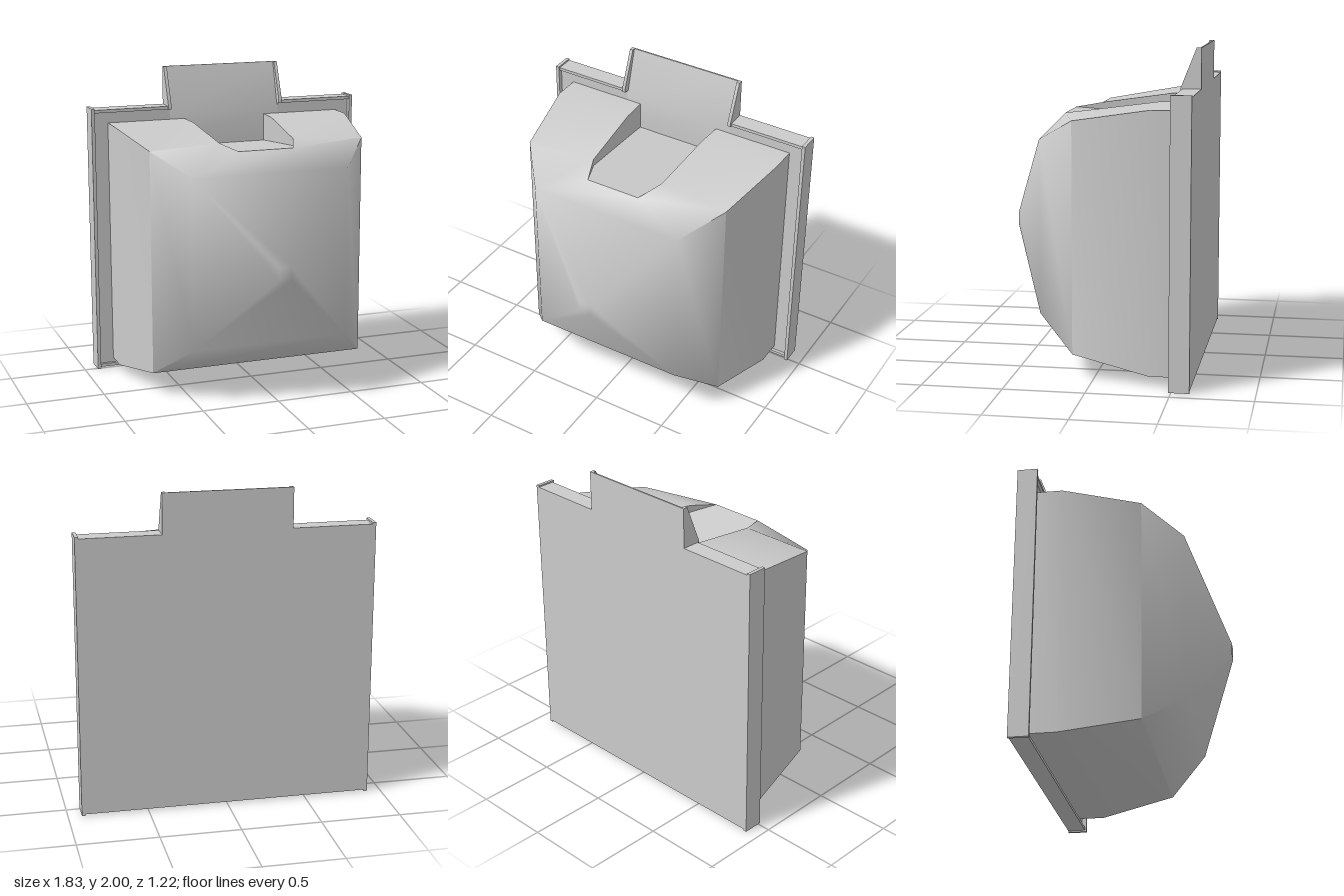
import * as THREE from 'three';
import { toCreasedNormals } from 'three/addons/utils/BufferGeometryUtils.js';

const material = new THREE.MeshStandardMaterial({ color: 0xcccccc });
const BACK = -0.61, PANEL = -0.515;

function add(group, name, geometry) {
  const mesh = new THREE.Mesh(geometry, material);
  mesh.name = name;
  group.add(mesh);
}

// Box given by its limits on each axis
function box(x0, x1, y0, y1, z0, z1) {
  return new THREE.BoxGeometry(x1 - x0, y1 - y0, z1 - z0)
    .translate((x0 + x1) / 2, (y0 + y1) / 2, (z0 + z1) / 2);
}

// Side profile of [z, y] points swept from x0 to x1
function sweepX(profile, x0, x1) {
  const shape = new THREE.Shape(profile.map(([z, y]) => new THREE.Vector2(z, y)));
  const geometry = new THREE.ExtrudeGeometry(shape, { depth: x1 - x0, bevelEnabled: false });
  geometry.rotateY(-Math.PI / 2).translate(x1, 0, 0);
  return toCreasedNormals(geometry, 0.8);
}

// Collects quads (corners counter-clockwise from outside) into one geometry
function quadBuilder() {
  const positions = [];
  return {
    quad(a, b, c, d) { positions.push(...a, ...b, ...c, ...a, ...c, ...d); },
    // The same quad on the left (+x) and mirrored on the right
    pair(a, b, c, d) {
      const m = ([x, y, z]) => [-x, y, z];
      this.quad(a, b, c, d);
      this.quad(m(d), m(c), m(b), m(a));
    },
    build(crease) {
      const geometry = new THREE.BufferGeometry();
      geometry.setAttribute('position', new THREE.Float32BufferAttribute(positions, 3));
      return toCreasedNormals(geometry, crease);
    },
  };
}

// Bulging shell: rectangular sections shrinking to the front, top cut open for the pocket
function pouchShell(rings, lip) {
  const q = quadBuilder();
  const low = rings.map(([z, x, y0]) => [x, y0, z]);
  const high = rings.map(([z, x, , y1]) => [x, y1, z]);
  const m = ([x, y, z]) => [-x, y, z];
  const last = rings.length - 1;
  for (let i = 0; i < last; i++) {
    q.pair(low[i], high[i], high[i + 1], low[i + 1]);
    q.quad(m(low[i]), low[i], low[i + 1], m(low[i + 1]));
    if (i < lip.length - 1) q.pair(high[i], lip[i], lip[i + 1], high[i + 1]);
  }
  // Brow in front of the pocket, upper front slope and flat tip
  const n = lip.length - 1;
  q.quad(m(high[n]), high[n], lip[n], m(lip[n]));
  q.quad(m(high[n]), m(high[last]), high[last], high[n]);
  q.quad(m(low[last]), low[last], high[last], m(high[last]));
  return q.build(1.31);
}

// Pocket walls and the floor sloping down to the back
function pocketLining(lip) {
  const q = quadBuilder();
  const m = ([x, y, z]) => [-x, y, z];
  const floor = lip.map(([x, , z]) => [x, 1.57 - 0.09 * (0.27 - z) / (0.27 - PANEL), z]);
  for (let i = 0; i < lip.length - 1; i++) {
    q.pair(lip[i], floor[i], floor[i + 1], lip[i + 1]);
    q.quad(m(floor[i]), m(floor[i + 1]), floor[i + 1], floor[i]);
  }
  return q.build(0.5);
}

export function createModel() {
  const model = new THREE.Group();

  // Back plate with its chute tab
  const plate = new THREE.Group();
  plate.name = 'backPlate';
  add(plate, 'chutePanel', sweepX([
    [BACK, 0.02], [PANEL, 0.02], [PANEL, 1.5], [PANEL, 1.7], [-0.6, 2], [BACK, 2],
  ], -0.38, 0.38));
  for (const [side, s] of [['left', 1], ['right', -1]]) {
    const span = (a, b) => (s > 0 ? [a, b] : [-b, -a]);
    add(plate, side + 'Panel', box(...span(0.38, 0.9), 0.02, 1.74, BACK, PANEL));
    add(plate, side + 'Rim', box(...span(0.893, 0.915), 0, 1.76, BACK, -0.485));
    add(plate, side + 'TopRim', box(...span(0.38, 0.9), 1.73, 1.75, BACK, -0.495));
    add(plate, side + 'ChuteCheek', sweepX([
      [BACK, 1.73], [-0.485, 1.73], [-0.485, 1.76], [-0.58, 2], [BACK, 2],
    ], ...span(0.377, 0.398)));
  }
  add(plate, 'bottomRim', box(-0.9, 0.9, 0.01, 0.03, BACK, -0.495));
  model.add(plate);

  // Sections from back to front: z, half width, bottom, top
  const rings = [
    [PANEL, 0.8, 0.06, 1.66],
    [-0.35, 0.8, 0.06, 1.66],
    [0.13, 0.71, 0.15, 1.58],
    [0.37, 0.51, 0.35, 1.44],
    [0.61, 0.04, 0.82, 0.9],
  ];
  // Left edge of the pocket opening
  const lip = [[0.28, 1.66, PANEL], [0.273, 1.66, -0.35], [0.247, 1.597, 0.1], [0.18, 1.57, 0.27]];
  add(model, 'pouch', pouchShell(rings, lip));
  add(model, 'pocket', pocketLining(lip));
  return model;
}
